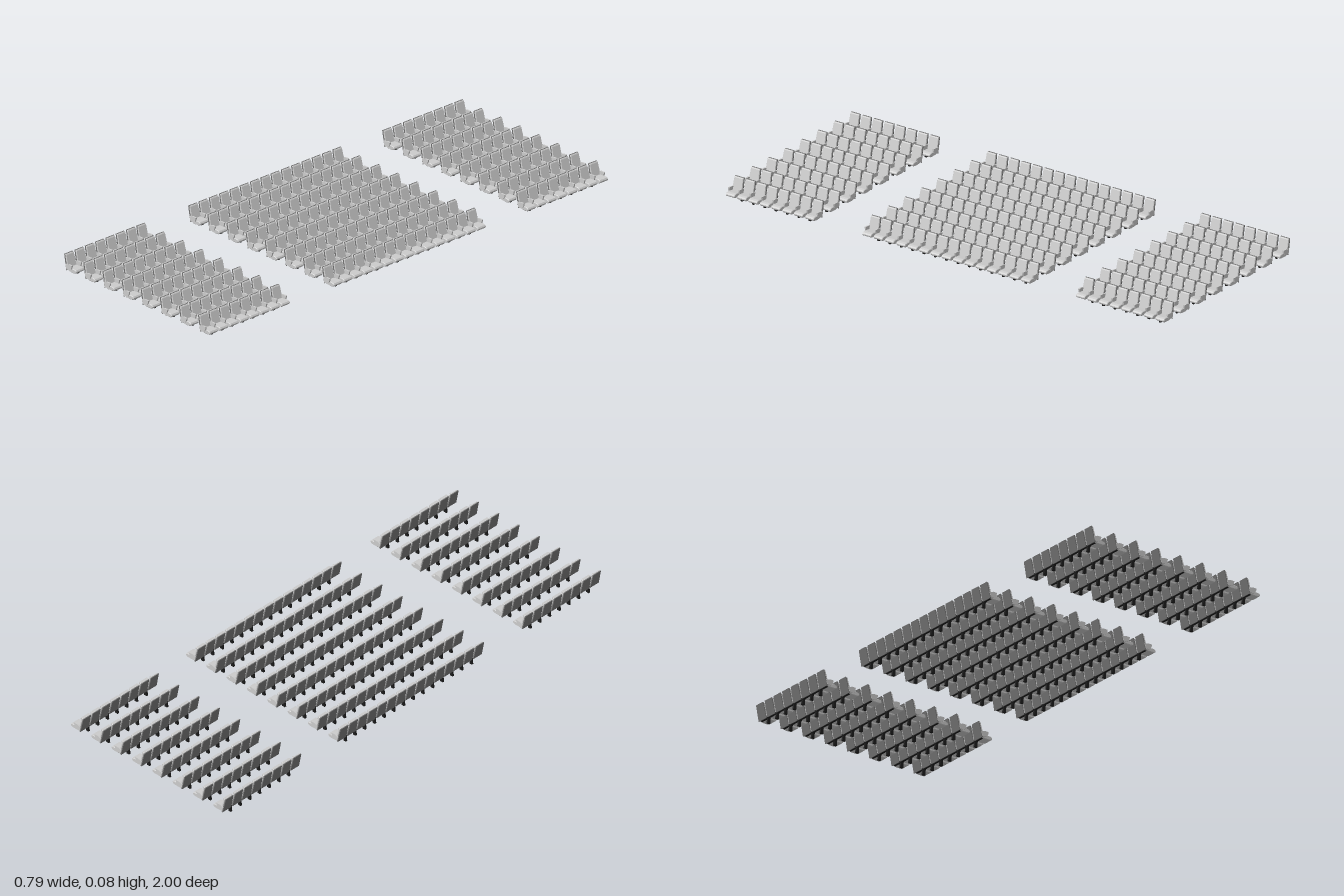
import * as THREE from 'three';

const PITCH = 0.0515;      // seat spacing along a row
const ROW_PITCH = 0.1038;  // distance between rows
const ROWS = 8;

const grey = new THREE.MeshStandardMaterial({ color: 0xcccccc, flatShading: true });
const shellGrey = new THREE.MeshStandardMaterial({ color: 0x777777, flatShading: true });
const dark = new THREE.MeshStandardMaterial({ color: 0x1c1c1c, flatShading: true });

// Side profile in x/y, extruded across z and centred on z = 0
function panel(points, width, bevel = 0) {
  const shape = new THREE.Shape(points.map(([x, y]) => new THREE.Vector2(x, y)));
  const geometry = new THREE.ExtrudeGeometry(shape, {
    depth: width - 2 * bevel,
    bevelEnabled: bevel > 0,
    bevelThickness: bevel,
    bevelSize: bevel,
    bevelOffset: -bevel,
    bevelSegments: 1,
  });
  return geometry.translate(0, 0, bevel - width / 2);
}

// Narrow a backrest towards its top edge
function taper(geometry) {
  const p = geometry.attributes.position;
  for (let i = 0; i < p.count; i++) {
    const t = THREE.MathUtils.clamp((p.getY(i) - 0.03) / 0.054, 0, 1);
    p.setZ(i, p.getZ(i) * (1 - 0.1 * t));
  }
  geometry.computeVertexNormals();
  return geometry;
}

// Seat profiles: x = 0 is the rear top edge of the back, the seat faces +x
const parts = {
  backShell: taper(panel([[0, 0.084], [0.004, 0.084], [0.019, 0.024], [0.014, 0.022]], 0.045)),
  backCushion: taper(panel(
    [[0.004, 0.083], [0.009, 0.084], [0.011, 0.081], [0.019, 0.05], [0.024, 0.03], [0.019, 0.024]], 0.044, 0.0015)),
  seatCushion: panel(
    [[0.018, 0.024], [0.03, 0.021], [0.05, 0.021], [0.06, 0.0225], [0.065, 0.027],
      [0.0655, 0.031], [0.062, 0.036], [0.052, 0.038], [0.018, 0.035]], 0.041, 0.002),
  armrest: panel(
    [[0.011, 0.046], [0.02, 0.047], [0.028, 0.05], [0.045, 0.05], [0.044, 0.043],
      [0.039, 0.031], [0.03, 0.027], [0.016, 0.027]], 0.006),
  leg: panel([[0.016, 0.028], [0.033, 0.028], [0.028, 0.018], [0.028, 0], [0.015, 0], [0.018, 0.018]], 0.008),
  beam: panel([[0.018, 0.028], [0.03, 0.028], [0.03, 0.022], [0.018, 0.022]], 1),
};

function add(group, name, material, z) {
  const mesh = new THREE.Mesh(parts[name], material);
  mesh.name = name;
  mesh.position.z = z;
  group.add(mesh);
  return mesh;
}

// One joined bench of seats along z
function seatRow(count) {
  const row = new THREE.Group();
  row.name = 'seatRow';
  const half = (count * PITCH) / 2 - 0.002;
  for (let i = 0; i < count; i++) {
    const z = (i - (count - 1) / 2) * PITCH;
    add(row, 'backShell', shellGrey, z);
    add(row, 'backCushion', grey, z);
    add(row, 'seatCushion', grey, z);
  }
  // armrests stand between seats and at both ends, legs only between seats
  for (let i = 0; i <= count; i++) {
    const z = (i - count / 2) * PITCH;
    add(row, 'armrest', grey, THREE.MathUtils.clamp(z, -half + 0.003, half - 0.003));
    if (i > 0 && i < count) add(row, 'leg', dark, z);
  }
  add(row, 'beam', dark, 0).scale.z = (count - 0.4) * PITCH;
  return row;
}

export function createModel() {
  const model = new THREE.Group();
  model.name = 'auditoriumSeating';
  const blocks = [
    ['rearBlock', 8, -0.796],
    ['middleBlock', 15, -0.005],
    ['frontBlock', 8, 0.796],
  ];
  for (const [name, count, z] of blocks) {
    const block = new THREE.Group();
    block.name = name;
    block.position.z = z;
    for (let r = 0; r < ROWS; r++) {
      const row = seatRow(count);
      row.position.x = -0.396 + r * ROW_PITCH;
      block.add(row);
    }
    model.add(block);
  }
  return model;
}
